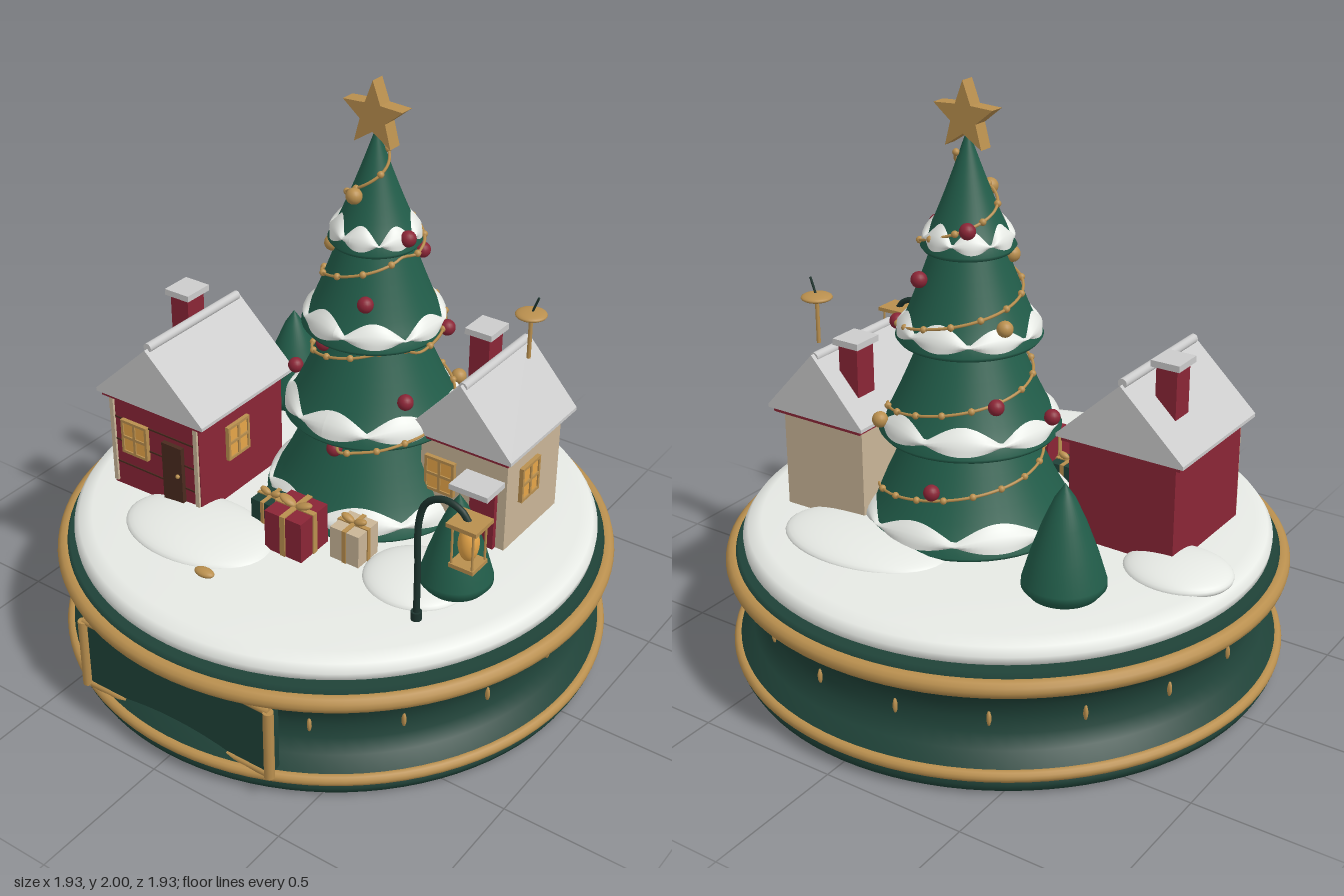
import * as THREE from 'three';

const C = {
  base: 0x1f4238, tree: 0x215c49, gold: 0xb98f4e, red: 0x8a2536, snow: 0xe6e9e4, roof: 0xd5d9d6,
  beige: 0xc9b597, brown: 0x4a2a1e, glow: 0xe6a548, iron: 0x1c332d,
};
const mats = {};
const mat = (c) => (mats[c] ??= new THREE.MeshStandardMaterial({ color: C[c], side: THREE.DoubleSide }));

function add(parent, name, geo, color, x = 0, y = 0, z = 0) {
  const m = new THREE.Mesh(geo, mat(color));
  m.name = name;
  m.position.set(x, y, z);
  parent.add(m);
  return m;
}
function group(parent, name, x = 0, y = 0, z = 0) {
  const g = new THREE.Group();
  g.name = name;
  g.position.set(x, y, z);
  parent.add(g);
  return g;
}
const box = (w, h, d) => new THREE.BoxGeometry(w, h, d);
const cyl = (r, h, n = 16) => new THREE.CylinderGeometry(r, r, h, n);
const lathe = (pts, n = 64) => new THREE.LatheGeometry(pts.map(([r, y]) => new THREE.Vector2(r, y)), n);
const ellipsoid = (a, b, c, n = 24) => new THREE.SphereGeometry(1, n, n / 2).scale(a, b, c);

function buildBase(root) {
  const g = group(root, 'base');
  add(g, 'plinth', lathe([[0, 0], [0.89, 0], [0.93, 0.012], [0.945, 0.04], [0.935, 0.085], [0.885, 0.125], [0.857, 0.17],
    [0.852, 0.22], [0.858, 0.27], [0.89, 0.315], [0.935, 0.35], [0.935, 0.4], [0.92, 0.425], [0, 0.43]], 96), 'base');
  for (const [y, r, t] of [[0.07, 0.935, 0.02], [0.38, 0.936, 0.03]])
    add(g, 'goldRing', new THREE.TorusGeometry(r, t, 12, 96).rotateX(Math.PI / 2), 'gold', 0, y, 0);
  for (let i = 0; i < 18; i++) {
    const a = (i * Math.PI) / 9;
    add(g, 'stud', ellipsoid(0.008, 0.028, 0.012, 10), 'gold', 0.853 * Math.cos(a), 0.22, 0.853 * Math.sin(a)).rotation.y = Math.PI / 2 - a;
  }
  // Flat front plaque with a gold frame
  add(g, 'plaque', box(0.76, 0.25, 0.05), 'base', 0, 0.22, 0.86);
  for (const s of [-1, 1]) {
    add(g, 'plaqueSide', cyl(0.018, 0.26, 10), 'gold', s * 0.38, 0.22, 0.885);
    add(g, 'plaqueRail', cyl(0.013, 0.76, 10).rotateZ(Math.PI / 2), 'gold', 0, 0.22 + s * 0.127, 0.88);
  }
  // Snow cover and drifts
  add(g, 'snowGround', lathe([[0, 0.425], [0.88, 0.425], [0.9, 0.44], [0.903, 0.465], [0.885, 0.49], [0.84, 0.505], [0.6, 0.511], [0, 0.515]], 96), 'snow');
  for (const [x, z, a, c] of [[0.25, -0.46, 0.31, 0.2], [-0.7, -0.07, 0.185, 0.155], [-0.25, 0.44, 0.28, 0.19], [0.49, 0.24, 0.18, 0.17]])
    add(g, 'snowDrift', ellipsoid(a, 0.045, c, 40), 'snow', x, 0.506, z);
  add(g, 'pebble', ellipsoid(0.038, 0.014, 0.022), 'gold', -0.07, 0.525, 0.63);
}

// Tree tiers: bottom y, bottom radius, top y, top radius
const TIERS = [[0.53, 0.365, 0.9, 0.18], [0.85, 0.305, 1.2, 0.14], [1.17, 0.242, 1.52, 0.1], [1.47, 0.155, 1.84, 0.003]];
const tierR = ([yb, rb, yt, rt], y) => rb + (rt - rb) * Math.pow(THREE.MathUtils.clamp((y - yb) / (yt - yb), 0, 1), 0.85);
const treeR = (y) => Math.max(...TIERS.filter((t) => y >= t[0] - 0.02 && y <= t[2]).map((t) => tierR(t, y)));

function buildTree(root) {
  const g = group(root, 'tree', 0.07, 0, -0.12);
  TIERS.forEach((t, k) => {
    const [yb, rb, yt, rt] = t;
    const pts = [[0, yb + 0.03], [rb * 0.85, yb + 0.005], [rb - 0.012, yb - 0.015], [rb, yb]];
    for (let i = 1; i <= 8; i++) {
      const y = yb + ((yt - yb) * i) / 8;
      pts.push([i === 8 && k === 3 ? rt : tierR(t, y), y]);
    }
    add(g, 'tier', lathe(pts, 48), 'tree');
    // Scalloped snow on the lower edge of the tier
    const band = new THREE.PlaneGeometry(1, 1, 120, 5), p = band.attributes.position;
    for (let i = 0; i < p.count; i++) {
      const a = (p.getX(i) + 0.5) * Math.PI * 2, v = p.getY(i) + 0.5;
      const wave = Math.abs(Math.sin(a * 3.5 + k * 1.3));
      const lo = yb + 0.008 + 0.022 * (1 - wave), hi = yb + 0.035 + 0.05 * wave + 0.008 * Math.sin(2 * a + k);
      const y = lo + (hi - lo) * v, r = tierR(t, y) + 0.002 + 0.014 * Math.sin(Math.PI * v);
      p.setXYZ(i, r * Math.sin(a), y, r * Math.cos(a));
    }
    band.computeVertexNormals();
    add(g, 'tierSnow', band, 'snow');
  });
  // Bead garland winding up the cone
  const at = (u) => {
    const y = 0.62 + 1.15 * u, a = Math.PI / 2 - ((y - 0.82) / 0.283) * Math.PI * 2, r = treeR(y) + 0.009;
    return new THREE.Vector3(r * Math.cos(a), y, r * Math.sin(a));
  };
  const path = new THREE.CatmullRomCurve3(Array.from({ length: 121 }, (_, i) => at(i / 120)));
  add(g, 'garland', new THREE.TubeGeometry(path, 400, 0.005, 6), 'gold');
  for (let i = 0; i <= 54; i++) {
    const p = path.getPointAt(i / 54);
    add(g, 'bead', new THREE.SphereGeometry(0.012, 10, 8), 'gold', p.x, p.y, p.z);
  }
  // Baubles: colour, x, y, z
  for (const [c, x, y, z] of [['red', 0.145, 1.51, 0.03], ['red', 0.08, 1.315, 0.17], ['red', 0.24, 1.18, -0.07], ['red', -0.09, 1.12, 0.16],
    ['red', -0.29, 0.92, 0.05], ['red', 0.02, 0.8, 0.255], ['red', 0.08, 1.38, -0.16], ['red', -0.07, 1.55, -0.105], ['red', 0.22, 0.99, 0.14],
    ['red', -0.05, 0.72, -0.29], ['red', -0.2, 1.0, -0.14], ['gold', -0.015, 1.64, 0.1], ['gold', -0.12, 1.44, 0.07],
    ['gold', -0.2, 1.25, -0.09], ['gold', 0.19, 0.9, -0.24]])
    add(g, 'bauble', new THREE.SphereGeometry(0.027, 18, 12), c, x, y, z);
  const star = new THREE.Shape(Array.from({ length: 10 }, (_, i) => {
    const a = Math.PI / 2 + (i * Math.PI) / 5, r = i % 2 ? 0.05 : 0.117;
    return new THREE.Vector2(r * Math.cos(a), r * Math.sin(a));
  }));
  add(g, 'star', new THREE.ExtrudeGeometry(star, { depth: 0.052, bevelEnabled: false }), 'gold', 0, 1.883, -0.026);
}

function addWindow(parent, x, y, z, turn = 0) {
  const w = group(parent, 'window', x, y, z);
  w.rotation.y = turn;
  add(w, 'pane', box(0.1, 0.12, 0.012), 'glow');
  for (const s of [-1, 0, 1]) {
    add(w, 'upright', box(0.01, 0.13, 0.022), 'gold', s * 0.052, 0, 0);
    add(w, 'crossbar', box(0.114, 0.01, 0.022), 'gold', 0, s * 0.06, 0);
  }
}

// Cottage with solid snowy gable roof; chimney position is relative to the house centre
function buildHouse(root, name, o) {
  const g = group(root, name, o.x, 0, o.z);
  add(g, 'walls', box(o.w, 0.37, o.d), o.wall, 0, 0.69, 0);
  add(g, 'eaveTrim', box(o.rw - 0.03, 0.018, o.rd - 0.02), 'red', 0, 0.866, 0);
  const h = o.rw / 2;
  const gable = new THREE.Shape([[-h, 0], [h, 0], [h, 0.012], [0, 0.23], [-h, 0.012]].map((p) => new THREE.Vector2(...p)));
  add(g, 'roof', new THREE.ExtrudeGeometry(gable, { depth: o.rd, bevelEnabled: false }), 'roof', 0, 0.872, -o.rd / 2);
  add(g, 'ridgeCap', cyl(0.016, o.rd - 0.03).rotateX(Math.PI / 2), 'roof', 0, o.ridge, 0);
  add(g, 'chimney', box(0.075, 0.24, 0.085), 'red', o.cx, o.top - 0.12, o.cz);
  add(g, 'chimneySnow', box(0.102, 0.022, 0.112), 'roof', o.cx, o.top + 0.01, o.cz);
  return g;
}

function buildHouses(root) {
  const r = buildHouse(root, 'redHouse', { x: -0.485, z: 0.15, w: 0.39, d: 0.45, rw: 0.465, rd: 0.5, wall: 'red', ridge: 1.105, top: 1.145, cx: -0.1, cz: -0.09 });
  const f = 0.226;
  for (const y of [0.6, 0.69, 0.78]) add(r, 'plankGroove', box(0.38, 0.006, 0.004), 'brown', 0, y, f);
  for (const s of [-1, 1]) add(r, 'cornerPost', box(0.016, 0.34, 0.016), 'beige', s * 0.184, 0.69, f);
  add(r, 'door', box(0.085, 0.25, 0.02), 'brown', 0.085, 0.635, f + 0.006);
  add(r, 'doorKnob', new THREE.SphereGeometry(0.008, 10, 8), 'gold', 0.112, 0.65, f + 0.02);
  addWindow(r, -0.083, 0.72, f + 0.004);
  addWindow(r, 0.199, 0.73, 0.03, Math.PI / 2);

  const b = buildHouse(root, 'beigeHouse', { x: 0.477, z: -0.222, w: 0.33, d: 0.345, rw: 0.395, rd: 0.43, wall: 'beige', ridge: 1.09, top: 1.13, cx: -0.095, cz: -0.1 });
  addWindow(b, -0.085, 0.715, 0.177);
  addWindow(b, 0.169, 0.725, 0.037, Math.PI / 2);
  add(b, 'door', box(0.095, 0.23, 0.024), 'red', 0.085, 0.625, 0.178);
  add(b, 'doorAwning', box(0.145, 0.02, 0.11), 'roof', 0.085, 0.765, 0.228);
  // Weather vane over the roof
  const v = group(root, 'weatherVane', 0.55, 0, -0.31);
  add(v, 'pole', cyl(0.007, 0.17, 10), 'gold', 0, 1.175, 0);
  add(v, 'disc', ellipsoid(0.053, 0.014, 0.053), 'gold', 0, 1.25, 0);
  add(v, 'needle', cyl(0.004, 0.07, 8), 'iron', 0.012, 1.283, 0).rotation.z = -0.35;
}

function buildLamp(root) {
  const g = group(root, 'streetLamp', 0.605, 0, 0.417);
  const arm = new THREE.CatmullRomCurve3([[0, 0.51], [0, 0.7], [0, 0.88], [0.025, 0.955], [0.085, 0.99], [0.145, 0.975], [0.175, 0.94]]
    .map(([x, y]) => new THREE.Vector3(x, y, 0)));
  add(g, 'postAndArm', new THREE.TubeGeometry(arm, 48, 0.011, 10), 'iron');
  add(g, 'foot', cyl(0.018, 0.03), 'iron', 0, 0.525, 0);
  const l = group(g, 'lantern', 0.175, 0, 0);
  add(l, 'lid', box(0.105, 0.014, 0.1), 'gold', 0, 0.944, 0);
  add(l, 'floor', box(0.085, 0.014, 0.085), 'gold', 0, 0.8, 0);
  add(l, 'bulb', ellipsoid(0.033, 0.062, 0.033), 'glow', 0, 0.872, 0);
  for (const sx of [-1, 1]) for (const sz of [-1, 1]) add(l, 'bar', cyl(0.004, 0.14, 8), 'gold', sx * 0.036, 0.872, sz * 0.036);
}

function buildGift(root, x, z, w, h, color) {
  const g = group(root, 'gift', x, 0.512, z);
  add(g, 'giftBox', box(w, h, w), color, 0, h / 2, 0);
  add(g, 'ribbonFront', box(w * 0.14, h + 0.008, w + 0.008), 'gold', 0, h / 2, 0);
  add(g, 'ribbonSide', box(w + 0.008, h + 0.008, w * 0.14), 'gold', 0, h / 2, 0);
  for (const s of [-1, 1])
    add(g, 'bowLoop', ellipsoid(w * 0.23, 0.012, w * 0.13, 16), 'gold', s * w * 0.22, h + 0.016, 0).rotation.z = s * 0.35;
}

export function createModel() {
  const root = new THREE.Group();
  root.name = 'winterMusicBox';
  buildBase(root);
  buildTree(root);
  buildHouses(root);
  buildLamp(root);
  buildGift(root, 0.07, 0.322, 0.148, 0.15, 'red');
  buildGift(root, 0.255, 0.255, 0.112, 0.12, 'beige');
  buildGift(root, -0.09, 0.25, 0.095, 0.09, 'base');
  // Small shrubs
  for (const [x, z, s, h] of [[0.62, 0.21, 1, 0.36], [-0.49, -0.42, 1.12, 0.39]])
    add(root, 'smallTree', lathe([[0, 0], [0.06, 0.0], [0.1, 0.05], [0.12, 0.12], [0.119, 0.17], [0.095, 0.4], [0.062, 0.66], [0.03, 0.87], [0, 1]]
      .map(([r, y]) => [r * s, y * h]), 40), 'tree', x, 0.51, z);
  return root;
}
